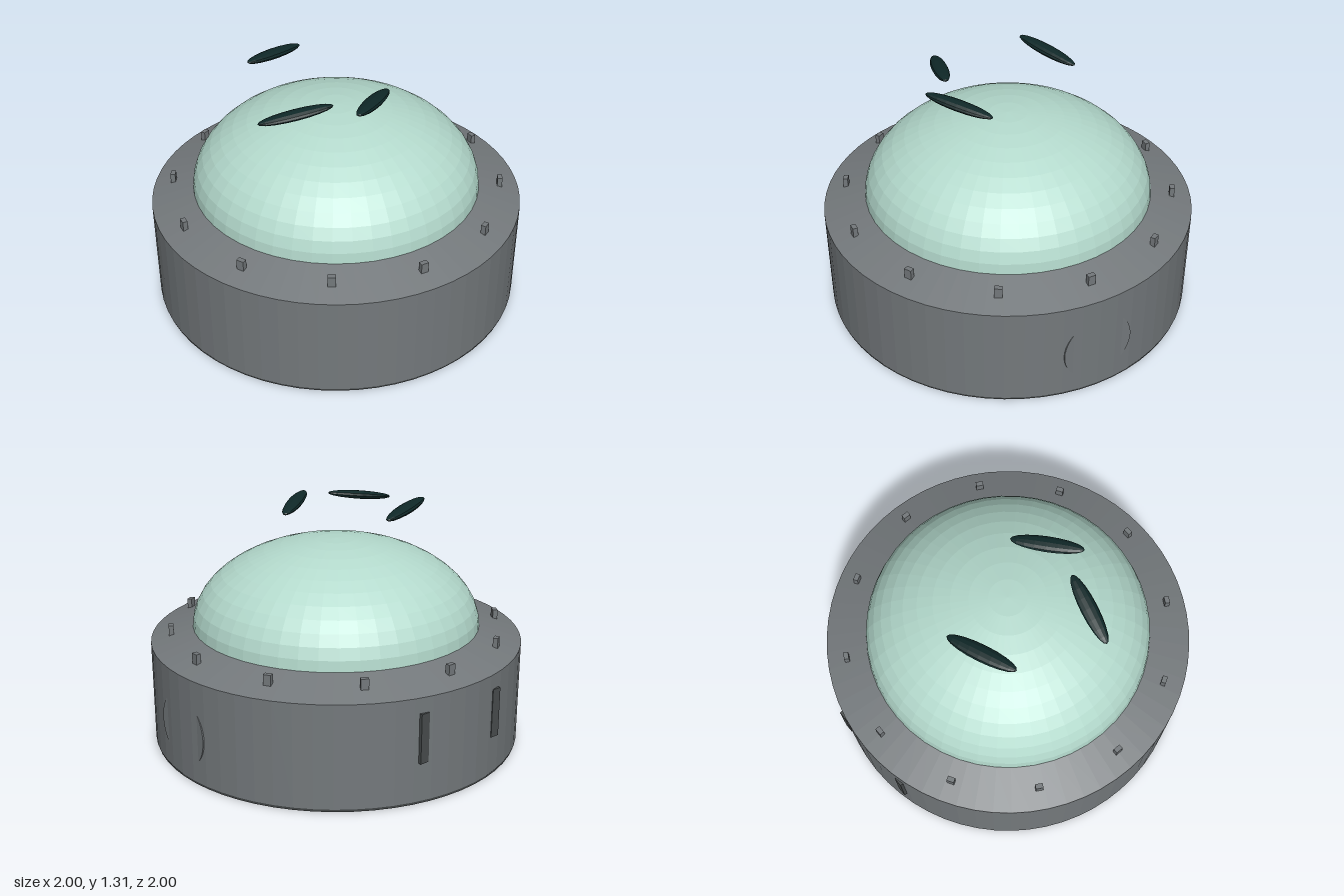
import * as THREE from 'three';

export function createModel() {
  const model = new THREE.Group();
  const material = (name, color) => {
    const m = new THREE.MeshStandardMaterial({ color, flatShading: true });
    m.name = name;
    return m;
  };
  const grey = material('steel grey', 0x74797c);
  const dark = material('dark grey', 0x484c4d);
  const mint = material('pale mint', 0xb4dacd);
  const leafGreen = material('deep green', 0x0f2828);

  const add = (name, geometry, mat, x = 0, y = 0, z = 0) => {
    const mesh = new THREE.Mesh(geometry, mat);
    mesh.name = name;
    mesh.position.set(x, y, z);
    model.add(mesh);
    return mesh;
  };

  // Drum with a sloping shoulder, standing on a thin dark foot
  const drumProfile = [[0, 0.015], [1, 0.015], [1, 0.56], [0.775, 0.63], [0, 0.63]]
    .map(([r, y]) => new THREE.Vector2(r, y));
  add('drum', new THREE.LatheGeometry(drumProfile, 64), grey);
  add('foot', new THREE.CylinderGeometry(0.999, 0.995, 0.022, 64), dark, 0, 0.011, 0);

  // Flattened half-sphere dome
  const dome = add('dome',
    new THREE.SphereGeometry(0.775, 48, 12, 0, Math.PI * 2, 0, Math.PI / 2), mint, 0, 0.625, 0);
  dome.scale.y = 0.465 / 0.775;

  // Ring of studs on the shoulder
  for (let i = 0; i < 12; i++) {
    const a = i * Math.PI / 6;
    const stud = add('stud', new THREE.BoxGeometry(0.04, 0.06, 0.026), grey,
      Math.sin(a) * 0.89, 0.615, Math.cos(a) * 0.89);
    stud.rotation.y = a;
  }

  // Round cover on the left side
  const cover = add('sideCover', new THREE.CylinderGeometry(0.19, 0.19, 0.04, 48), grey, 0.969, 0.26, 0);
  cover.rotation.z = -Math.PI / 2;

  // Pair of upright bars on the back
  for (const side of [-1, 1]) {
    add('backBar', new THREE.BoxGeometry(0.05, 0.26, 0.03), dark, side * 0.24, 0.35, -0.965);
  }

  // Slender floating leaves, each laid between two tips
  const leaves = [
    [[-0.375, 1.3, -0.265], [-0.01, 1.26, -0.4]],
    [[-0.535, 1.205, 0.18], [-0.165, 1.26, 0.275]],
    [[-0.105, 1.255, 0.415], [0.2, 1.21, 0.185]],
  ];
  for (const [from, to] of leaves) {
    const a = new THREE.Vector3(...from), b = new THREE.Vector3(...to);
    const along = b.clone().sub(a);
    const length = along.length();
    along.normalize();
    const across = new THREE.Vector3(0, 1, 0).cross(along).normalize();
    const up = along.clone().cross(across);
    const centre = a.add(b).multiplyScalar(0.5);
    const leaf = add('leaf', new THREE.SphereGeometry(1, 12, 10), leafGreen, centre.x, centre.y, centre.z);
    leaf.scale.set(0.044, length / 2, 0.023);
    leaf.quaternion.setFromRotationMatrix(
      new THREE.Matrix4().makeBasis(across, along, up.clone().negate()));
  }
  return model;
}
